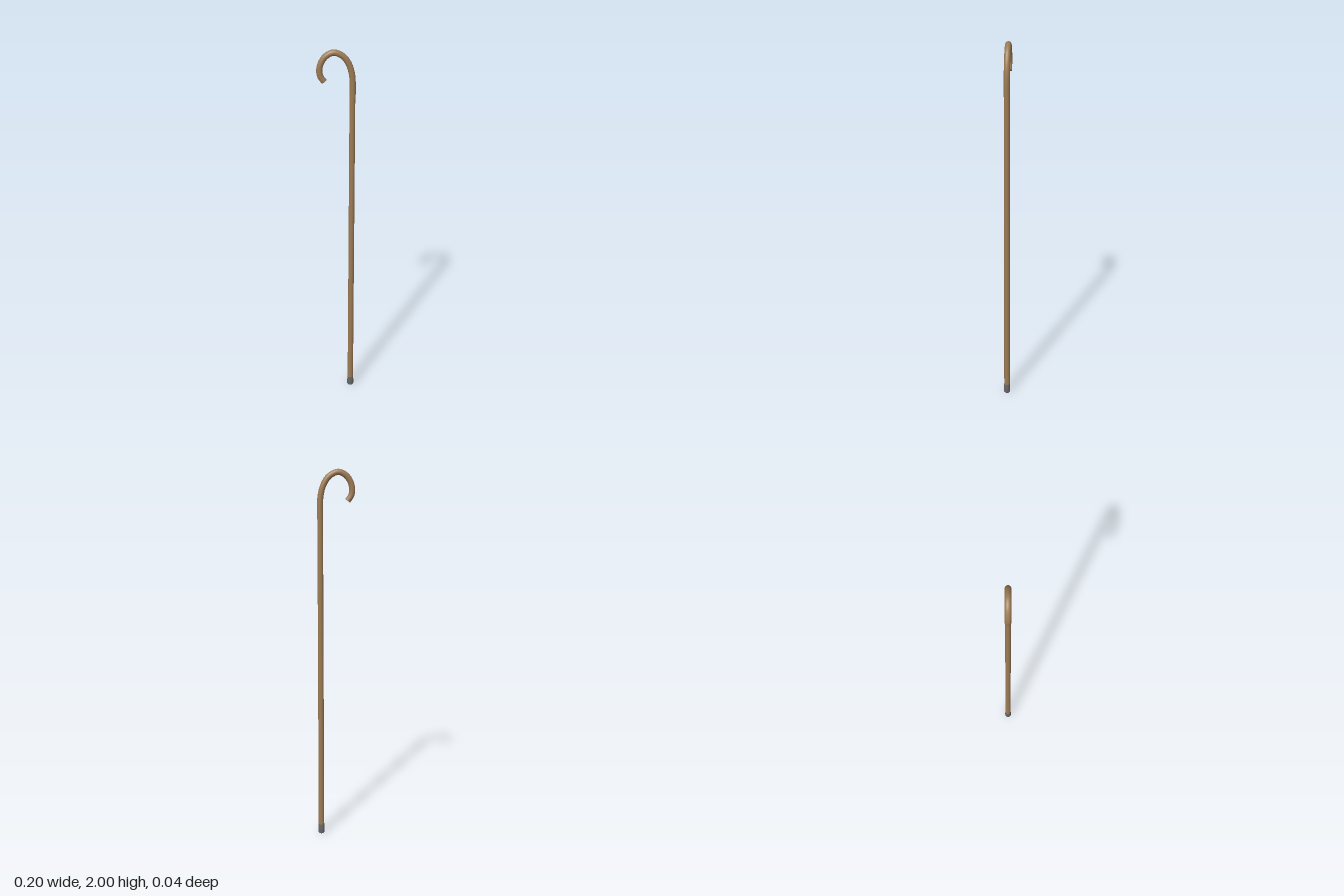
import * as THREE from 'three';

const wood = new THREE.MeshStandardMaterial({ color: 0x9c7b54 });
const rubber = new THREE.MeshStandardMaterial({ color: 0x66666a });
const AXIS_X = 0.08;

// Closed solid of revolution from [radius, height] pairs
function turned(name, profile, material, sides) {
  const points = profile.map(([r, y]) => new THREE.Vector2(r, y));
  const mesh = new THREE.Mesh(new THREE.LatheGeometry(points, sides), material);
  mesh.name = name;
  mesh.position.x = AXIS_X;
  return mesh;
}

export function createModel() {
  const cane = new THREE.Group();
  cane.name = 'walkingCane';

  // Straight shaft
  const shaft = new THREE.Mesh(new THREE.CylinderGeometry(0.0145, 0.0155, 1.71, 24), wood);
  shaft.name = 'shaft';
  shaft.position.set(AXIS_X, 0.04 + 1.71 / 2, 0);
  cane.add(shaft);

  // Foot cap: wide base, narrower collar
  cane.add(turned('footCap', [
    [0, 0], [0.015, 0], [0.0175, 0.004], [0.0175, 0.03],
    [0.016, 0.036], [0.016, 0.052], [0.015, 0.053], [0, 0.053],
  ], rubber, 24));

  // Curved crook handle
  const path = new THREE.CatmullRomCurve3([
    [0.081, 1.745], [0.081, 1.82], [0.077, 1.87], [0.063, 1.92], [0.034, 1.963], [-0.012, 1.984],
    [-0.05, 1.968], [-0.075, 1.934], [-0.084, 1.895], [-0.079, 1.863], [-0.061, 1.837],
  ].map(([x, y]) => new THREE.Vector3(x, y, 0)));
  const radius = 0.0155;
  const handle = new THREE.Group();
  handle.name = 'handle';
  const crook = new THREE.Mesh(new THREE.TubeGeometry(path, 64, radius, 20), wood);
  crook.name = 'crook';
  handle.add(crook);

  // Flat caps on both ends of the crook
  for (const [name, t, sign] of [['crookBase', 0, -1], ['crookEnd', 1, 1]]) {
    const cap = new THREE.Mesh(new THREE.CircleGeometry(radius, 20), wood);
    cap.name = name;
    cap.position.copy(path.getPointAt(t));
    const outward = path.getTangentAt(t).multiplyScalar(sign);
    cap.quaternion.setFromUnitVectors(new THREE.Vector3(0, 0, 1), outward);
    handle.add(cap);
  }
  cane.add(handle);

  return cane;
}
